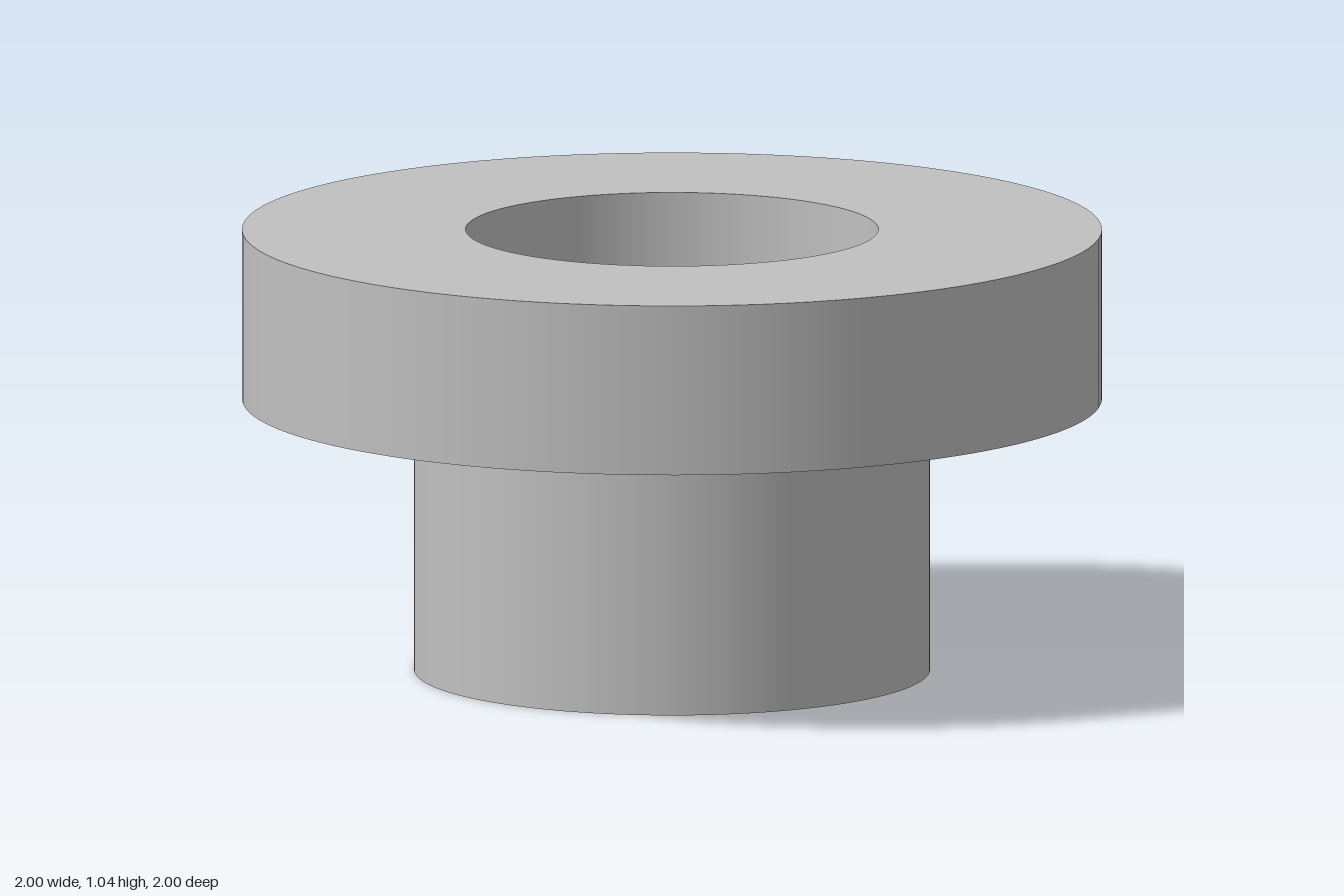
import * as THREE from 'three';

const BORE = 0.48, SLEEVE = 0.6, FLANGE = 1;
const LEDGE = 0.64, TOP = 1.04;
const SEGMENTS = 96;

export function createModel() {
  const grey = new THREE.MeshStandardMaterial({ color: 0xc0c0c0 });
  grey.name = 'plain grey';

  const model = new THREE.Group();
  model.name = 'flangedBushing';

  // One turned surface between two profile points, so every rim stays sharp
  const turned = (name, from, to) => {
    const points = [new THREE.Vector2(...from), new THREE.Vector2(...to)];
    const mesh = new THREE.Mesh(new THREE.LatheGeometry(points, SEGMENTS), grey);
    mesh.name = name;
    model.add(mesh);
  };

  // Sleeve
  turned('sleeveBottom', [BORE, 0], [SLEEVE, 0]);
  turned('sleeveWall', [SLEEVE, 0], [SLEEVE, LEDGE]);

  // Flange
  turned('flangeUnderside', [SLEEVE, LEDGE], [FLANGE, LEDGE]);
  turned('flangeRim', [FLANGE, LEDGE], [FLANGE, TOP]);
  turned('flangeTop', [FLANGE, TOP], [BORE, TOP]);

  // Through hole
  turned('boreWall', [BORE, TOP], [BORE, 0]);

  return model;
}
